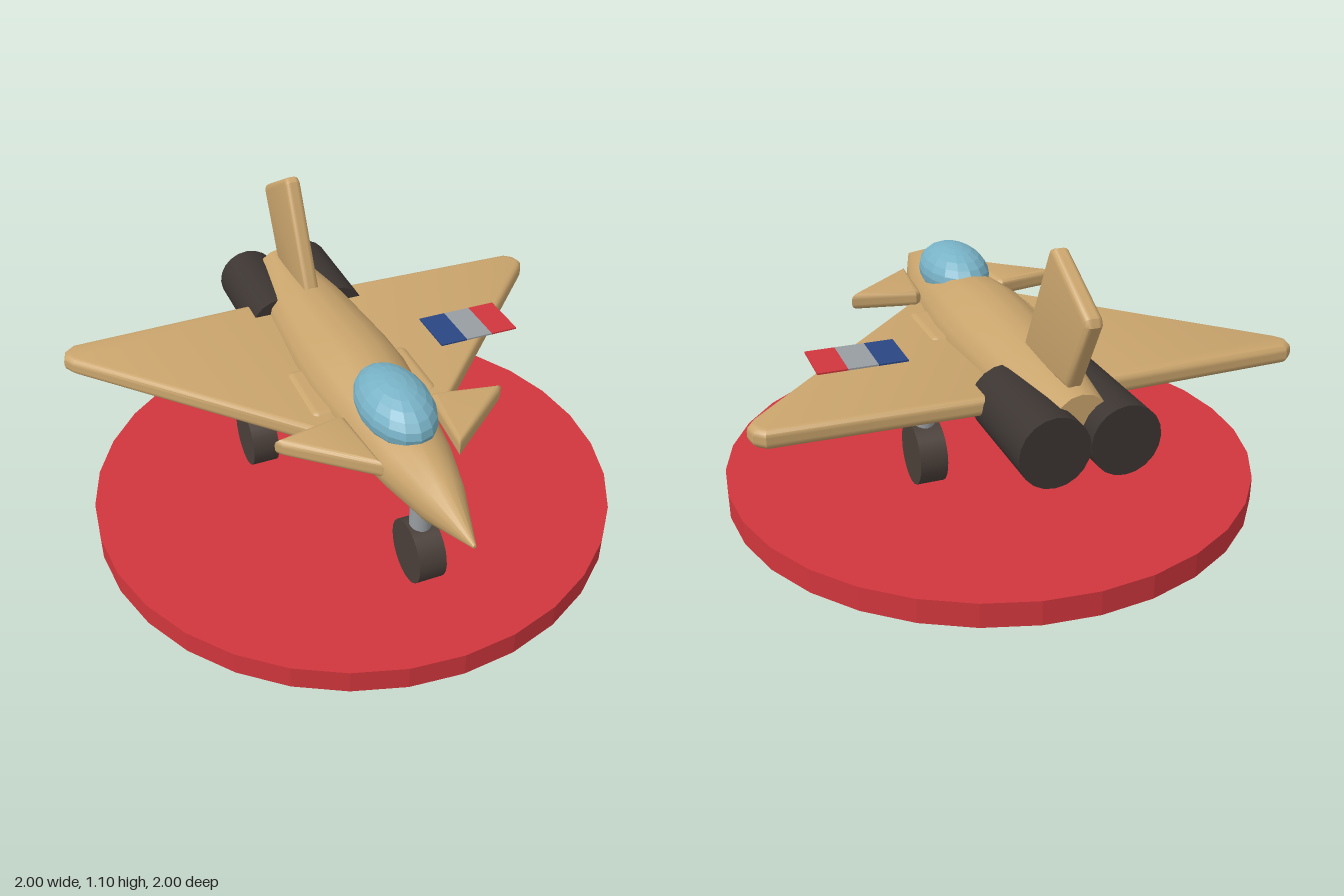
import * as THREE from 'three';
import { RoundedBoxGeometry } from 'three/addons/geometries/RoundedBoxGeometry.js';
import { toCreasedNormals } from 'three/addons/utils/BufferGeometryUtils.js';

function paint(name, color) {
  const m = new THREE.MeshStandardMaterial({ color });
  m.name = name;
  return m;
}

// Faceted copy of a geometry
function faceted(geometry) {
  const g = geometry.toNonIndexed();
  g.computeVertexNormals();
  return g;
}

// Flat panel with soft edges; the outline is its outer limit
function panel(points, thickness, bevel) {
  const shape = new THREE.Shape(points.map(([x, y]) => new THREE.Vector2(x, y)));
  const g = new THREE.ExtrudeGeometry(shape, {
    depth: thickness - 2 * bevel, bevelEnabled: true, bevelThickness: bevel,
    bevelSize: bevel, bevelOffset: -bevel, bevelSegments: 3,
  });
  g.translate(0, 0, bevel - thickness / 2);
  return toCreasedNormals(g, 0.6);
}

// Elliptical body along z from [z, halfWidth, halfHeight] stations, nose first
function body(stations, sides) {
  const pos = [], index = [];
  stations.forEach(([z, w, h]) => {
    for (let i = 0; i < sides; i++) {
      const a = (i / sides) * Math.PI * 2;
      pos.push(w * Math.cos(a), h * Math.sin(a), z);
    }
  });
  for (let s = 0; s < stations.length - 1; s++) {
    for (let i = 0; i < sides; i++) {
      const a = s * sides + i, b = s * sides + (i + 1) % sides;
      index.push(a, a + sides, b, b, a + sides, b + sides);
    }
  }
  // End caps
  const last = (stations.length - 1) * sides;
  for (let i = 1; i < sides - 1; i++) {
    index.push(0, i, i + 1, last, last + i + 1, last + i);
  }
  const g = new THREE.BufferGeometry();
  g.setAttribute('position', new THREE.Float32BufferAttribute(pos, 3));
  g.setIndex(index);
  return toCreasedNormals(g, 0.7);
}

export function createModel() {
  const model = new THREE.Group();
  model.name = 'jetOnStand';

  const tan = paint('tan', 0xc9a46c);
  const red = paint('red', 0xd0363c);
  const glass = paint('canopyBlue', 0x78b2c6);
  const engineDark = paint('engineDark', 0x3c3532);
  const tyre = paint('tyreBrown', 0x4a3f39);
  const grey = paint('grey', 0x989da1);
  const blue = paint('blue', 0x2a4684);

  const add = (name, geometry, material, x = 0, y = 0, z = 0) => {
    const mesh = new THREE.Mesh(geometry, material);
    mesh.name = name;
    mesh.position.set(x, y, z);
    model.add(mesh);
    return mesh;
  };

  // Display base
  add('base', faceted(new THREE.CylinderGeometry(1, 1, 0.09, 32)), red, 0, 0.045, 0);

  // Fuselage
  add('fuselage', body([
    [0.995, 0.006, 0.006], [0.77, 0.082, 0.092], [0.58, 0.13, 0.112], [0.38, 0.158, 0.136],
    [0.2, 0.18, 0.158], [0.07, 0.192, 0.167], [-0.1, 0.19, 0.16],
    [-0.46, 0.165, 0.133], [-0.81, 0.1, 0.106],
  ], 16), tan, 0, 0.578, 0);

  // Canopy
  const canopy = new THREE.SphereGeometry(1, 16, 12);
  canopy.scale(0.128, 0.105, 0.215);
  add('canopy', faceted(canopy), glass, 0, 0.7, 0.39);

  // Tail fin, drawn as (-z, y)
  const fin = panel([
    [0.395, 0.68], [0.75, 0.68], [0.882, 0.93], [0.872, 0.957], [0.62, 1.097], [0.592, 1.087],
  ], 0.06, 0.02);
  fin.rotateY(Math.PI / 2);
  add('tailFin', fin, tan);

  for (const s of [1, -1]) {
    const side = s > 0 ? 'left' : 'right';

    // Flat panels drawn as (x, -z)
    const flat = (pts, t, b) =>
      panel(pts.map(([x, z]) => [s * x, -z]), t, b).rotateX(-Math.PI / 2);

    add(side + 'Wing', flat([
      [0.08, 0.478], [0.952, -0.433], [0.976, -0.475], [0.965, -0.52], [0.93, -0.55], [0.08, -0.572],
    ], 0.068, 0.025), tan, 0, 0.567, 0);

    add(side + 'Canard', flat([
      [0.138, 0.615], [0.405, 0.392], [0.425, 0.365], [0.18, 0.315], [0.16, 0.33],
    ], 0.064, 0.022), tan, 0, 0.626, 0);

    // Air intake and engine
    add(side + 'Intake', new RoundedBoxGeometry(0.15, 0.13, 0.31, 3, 0.035), tan, s * 0.172, 0.545, 0.09);
    const engine = new THREE.CylinderGeometry(0.12, 0.12, 0.425, 20);
    engine.rotateX(Math.PI / 2);
    add(side + 'Engine', engine, engineDark, s * 0.12, 0.54, -0.672);
  }

  // Landing gear
  for (const [name, x, z] of [['nose', 0, 0.622], ['left', 0.32, -0.195], ['right', -0.32, -0.195]]) {
    add(name + 'Strut', new THREE.CylinderGeometry(0.039, 0.039, 0.2, 16), grey, x, 0.387, z);
    const wheel = new THREE.CylinderGeometry(0.115, 0.115, 0.1, 24);
    wheel.rotateZ(Math.PI / 2);
    add(name + 'Wheel', wheel, tyre, x, 0.243, z);
  }

  // Three-colour marking above the left wing
  [[blue, 'blue'], [grey, 'grey'], [red, 'red']].forEach(([material, name], i) => {
    add(name + 'Stripe', new THREE.BoxGeometry(0.107, 0.006, 0.2), material, 0.424 + i * 0.107, 0.605, -0.1);
  });

  return model;
}
